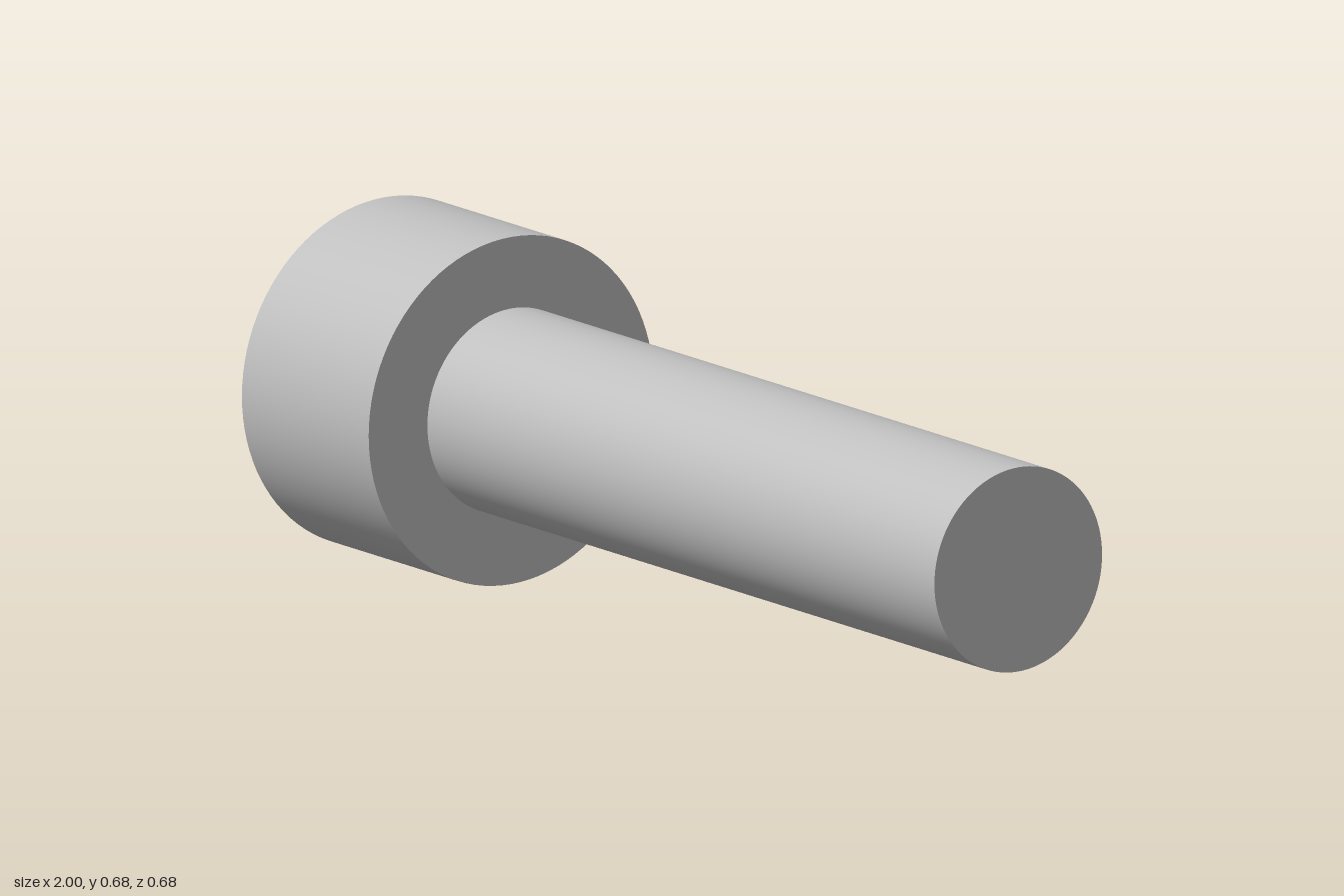
import * as THREE from 'three';
import { toCreasedNormals } from 'three/addons/utils/BufferGeometryUtils.js';

const HEAD_R = 0.34, SHANK_R = 0.2, SOCKET_R = 0.185;
const HEAD_END = -1, HEAD_BASE = -0.6, TIP = 1, SOCKET_DEPTH = 0.2;
const SEGMENTS = 96;

// Surface of revolution with crisp edges at the profile corners
function turned(points) {
  const profile = points.map(([r, y]) => new THREE.Vector2(r, y));
  return toCreasedNormals(new THREE.LatheGeometry(profile, SEGMENTS), 0.6);
}

// Points of a regular polygon, first corner on the second axis
function polygon(radius, sides) {
  return Array.from({ length: sides }, (_, i) => {
    const a = Math.PI / 2 + (i / sides) * Math.PI * 2;
    return new THREE.Vector2(radius * Math.cos(a), radius * Math.sin(a));
  });
}

export function createModel() {
  const steel = new THREE.MeshStandardMaterial({ color: 0xbfbfbf });
  steel.name = 'steel grey';

  const model = new THREE.Group();
  model.name = 'socketHeadBolt';

  // The bolt is modelled along local y, then laid along x
  const bolt = new THREE.Group();
  bolt.name = 'bolt';
  bolt.rotation.z = -Math.PI / 2;
  bolt.position.y = HEAD_R;
  model.add(bolt);

  function add(name, geometry) {
    const mesh = new THREE.Mesh(geometry, steel);
    mesh.name = name;
    bolt.add(mesh);
  }

  // Head side and underside
  add('head', turned([[HEAD_R, HEAD_END], [HEAD_R, HEAD_BASE], [SHANK_R, HEAD_BASE]]));

  // Plain shank with a flat tip
  add('shank', turned([[SHANK_R, HEAD_BASE], [SHANK_R, TIP], [0, TIP]]));

  // Head end face with the hexagonal opening
  const face = new THREE.Shape(polygon(HEAD_R, SEGMENTS));
  face.holes.push(new THREE.Path(polygon(SOCKET_R, 6)));
  add('headFace', new THREE.ShapeGeometry(face).rotateX(Math.PI / 2).translate(0, HEAD_END, 0));

  // Socket walls, mirrored so that they face inward
  const tube = new THREE.CylinderGeometry(SOCKET_R, SOCKET_R, SOCKET_DEPTH, 6, 1, true);
  const walls = tube.scale(-1, 1, 1).toNonIndexed();
  walls.computeVertexNormals();
  add('socketWalls', walls.translate(0, HEAD_END + SOCKET_DEPTH / 2, 0));

  // Socket floor
  const floor = new THREE.ShapeGeometry(new THREE.Shape(polygon(SOCKET_R, 6)));
  add('socketFloor', floor.rotateX(Math.PI / 2).translate(0, HEAD_END + SOCKET_DEPTH, 0));

  return model;
}
